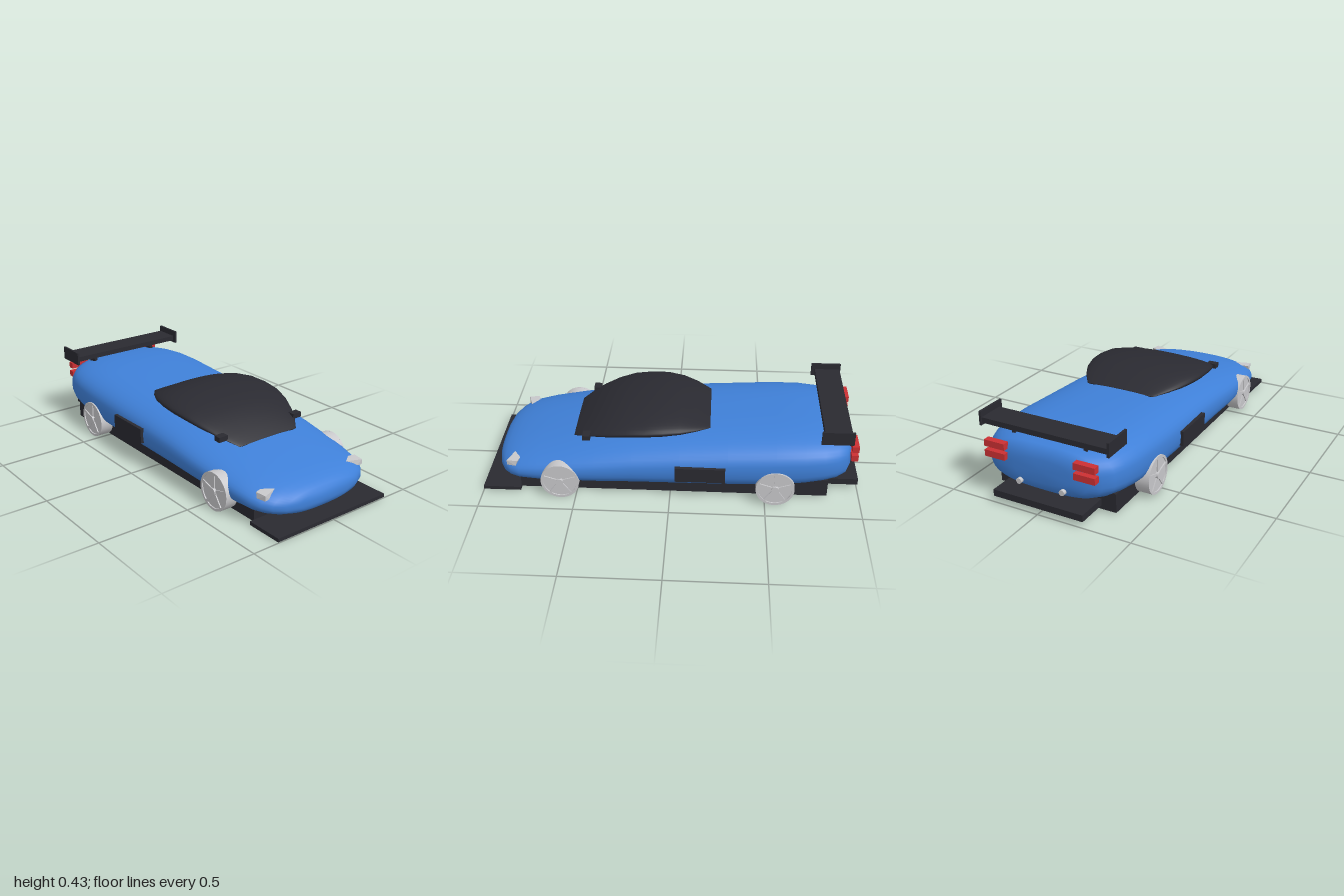
import * as THREE from 'three';
import { ConvexGeometry } from 'three/addons/geometries/ConvexGeometry.js';

const paint = (name, color) => {
  const m = new THREE.MeshStandardMaterial({ color });
  m.name = name;
  return m;
};

// Closed skin through superellipse rings; each row is [z, halfWidth, bottom, middle, top]
function loft(rows, exponent, sides = 48) {
  const pos = [], idx = [];
  for (const [z, a, y0, yc, y1] of rows) {
    const p = 2 / exponent(z);
    for (let j = 0; j < sides; j++) {
      const t = (j / sides) * Math.PI * 2, c = Math.cos(t), s = Math.sin(t);
      const h = s > 0 ? y1 - yc : yc - y0;
      pos.push(a * Math.sign(c) * Math.abs(c) ** p, yc + h * Math.sign(s) * Math.abs(s) ** p, z);
    }
  }
  const last = rows.length - 1;
  for (let i = 0; i < last; i++) {
    for (let j = 0; j < sides; j++) {
      const k = (j + 1) % sides;
      const a = i * sides + j, b = i * sides + k, c = a + sides, d = b + sides;
      idx.push(a, c, b, b, c, d);
    }
  }
  // End caps
  const front = pos.length / 3, back = front + 1;
  pos.push(0, rows[0][3], rows[0][0], 0, rows[last][3], rows[last][0]);
  for (let j = 0; j < sides; j++) {
    const k = (j + 1) % sides;
    idx.push(front, j, k, back, last * sides + k, last * sides + j);
  }
  const g = new THREE.BufferGeometry();
  g.setAttribute('position', new THREE.Float32BufferAttribute(pos, 3));
  g.setIndex(idx);
  g.computeVertexNormals();
  return g;
}

export function createModel() {
  const car = new THREE.Group();
  car.name = 'car';
  const blue = paint('bodyBlue', 0x3f80d8);
  const black = paint('trimBlack', 0x2a2a31);
  const silver = paint('silver', 0xc8c8cb);
  const red = paint('lampRed', 0xcc3033);

  const add = (name, geometry, material, parent = car) => {
    const m = new THREE.Mesh(geometry, material);
    m.name = name;
    parent.add(m);
    return m;
  };
  // Box from its limits on each axis
  const box = (name, material, [x0, x1], [y0, y1], [z0, z1]) => {
    const m = add(name, new THREE.BoxGeometry(x1 - x0, y1 - y0, z1 - z0), material);
    m.position.set((x0 + x1) / 2, (y0 + y1) / 2, (z0 + z1) / 2);
    return m;
  };
  const pair = (name, material, [x0, x1], y, z) => {
    box(name + 'Left', material, [x0, x1], y, z);
    box(name + 'Right', material, [-x1, -x0], y, z);
  };

  // Body shell: z, half width, bottom, top
  const shell = [
    [0.942, 0.06, 0.08, 0.115], [0.936, 0.16, 0.06, 0.14], [0.92, 0.235, 0.047, 0.158],
    [0.89, 0.295, 0.04, 0.175], [0.85, 0.335, 0.036, 0.19], [0.8, 0.36, 0.033, 0.205],
    [0.7, 0.378, 0.03, 0.23], [0.55, 0.39, 0.03, 0.258], [0.4, 0.4, 0.03, 0.285],
    [0.2, 0.4, 0.03, 0.312], [-0.05, 0.4, 0.03, 0.333], [-0.3, 0.4, 0.032, 0.347],
    [-0.55, 0.4, 0.042, 0.36], [-0.7, 0.392, 0.056, 0.36], [-0.8, 0.375, 0.07, 0.353],
    [-0.87, 0.35, 0.08, 0.345], [-0.92, 0.31, 0.092, 0.334], [-0.945, 0.25, 0.11, 0.312],
    [-0.955, 0.15, 0.15, 0.27],
  ].map(([z, a, y0, y1]) => [z, a, y0, (y0 + y1) / 2, y1]);
  add('body', loft(shell, (z) => 2.6 - 0.3 * z), blue);

  // Cabin glass, a flattened bubble set into the body
  const glass = [
    [0.52, 0.19, 0.255, 0.26, 0.268], [0.46, 0.235, 0.265, 0.288, 0.305],
    [0.4, 0.268, 0.272, 0.31, 0.342], [0.32, 0.3, 0.28, 0.333, 0.378],
    [0.23, 0.32, 0.288, 0.352, 0.404], [0.13, 0.326, 0.295, 0.36, 0.418],
    [0.04, 0.318, 0.3, 0.362, 0.423], [-0.05, 0.295, 0.31, 0.358, 0.411],
    [-0.13, 0.255, 0.32, 0.35, 0.384], [-0.205, 0.2, 0.33, 0.338, 0.346],
  ];
  add('cabinGlass', loft(glass, () => 2), black);

  // Underbody, splitter and rear diffuser plate
  box('floor', black, [-0.33, 0.33], [0.015, 0.115], [-0.83, 0.8]);
  box('frontSplitter', black, [-0.355, 0.355], [0.006, 0.025], [0.8, 1]);
  box('rearDiffuser', black, [-0.25, 0.25], [0.035, 0.07], [-1, -0.8]);

  // Side intakes and mirrors
  pair('sideIntake', black, [0.385, 0.415], [0.14, 0.222], [-0.288, -0.028]);
  pair('mirror', black, [0.22, 0.275], [0.285, 0.312], [0.425, 0.465]);

  // Rear wing
  box('wing', black, [-0.35, 0.35], [0.373, 0.401], [-0.93, -0.79]);
  pair('wingEndPlate', black, [0.345, 0.357], [0.36, 0.433], [-0.935, -0.77]);
  pair('wingSupport', black, [0.19, 0.21], [0.32, 0.38], [-0.88, -0.83]);

  // Tail lamps, two per side
  for (const [name, y] of [['upperTailLamp', 0.28], ['lowerTailLamp', 0.227]]) {
    pair(name, red, [0.19, 0.305], [y, y + 0.034], [-0.975, -0.94]);
  }

  // Wheel with its outer face towards +x
  const makeWheel = (name) => {
    const wheel = new THREE.Group();
    wheel.name = name;
    const disc = (part, r, depth, x) => {
      const m = add(part, new THREE.CylinderGeometry(r, r, depth, 32), silver, wheel);
      m.rotation.z = Math.PI / 2;
      m.position.x = x - depth / 2;
    };
    disc('drum', 0.101, 0.118, -0.006);
    disc('hub', 0.02, 0.02, 0.008);
    const rim = new THREE.Shape().absarc(0, 0, 0.101, 0, Math.PI * 2);
    rim.holes.push(new THREE.Path().absarc(0, 0, 0.088, 0, Math.PI * 2, true));
    const rimMesh = add('rim', new THREE.ExtrudeGeometry(rim, { depth: 0.008, bevelEnabled: false, curveSegments: 32 }), silver, wheel);
    rimMesh.rotation.y = Math.PI / 2;
    rimMesh.position.x = -0.008;
    for (let i = 0; i < 5; i++) {
      const t = (i / 5) * Math.PI * 2;
      const spoke = add('spoke', new THREE.BoxGeometry(0.008, 0.08, 0.014), silver, wheel);
      spoke.position.set(-0.004, Math.cos(t) * 0.052, Math.sin(t) * 0.052);
      spoke.rotation.x = t;
    }
    return wheel;
  };

  for (const side of [1, -1]) {
    const label = side > 0 ? 'Left' : 'Right';
    for (const [end, x, z] of [['front', 0.4, 0.577], ['rear', 0.407, -0.55]]) {
      const wheel = makeWheel(end + 'Wheel' + label);
      wheel.position.set(side * x, 0.103, z);
      if (side < 0) wheel.rotation.y = Math.PI;
      car.add(wheel);
    }

    // Wedge headlamp
    const corners = [
      [0.33, 0.177, 0.81], [0.295, 0.177, 0.8], [0.23, 0.177, 0.835], [0.322, 0.175, 0.868],
      [0.333, 0.148, 0.82], [0.292, 0.148, 0.862], [0.322, 0.148, 0.868], [0.29, 0.148, 0.82],
    ].map(([x, y, z]) => new THREE.Vector3(side * x, y, z));
    add('headlamp' + label, new ConvexGeometry(corners), silver);

    // Exhaust tip
    const pipe = add('exhaust' + label, new THREE.CylinderGeometry(0.015, 0.015, 0.03, 12), silver);
    pipe.rotation.x = Math.PI / 2;
    pipe.position.set(side * 0.12, 0.135, -0.955);
  }
  return car;
}
